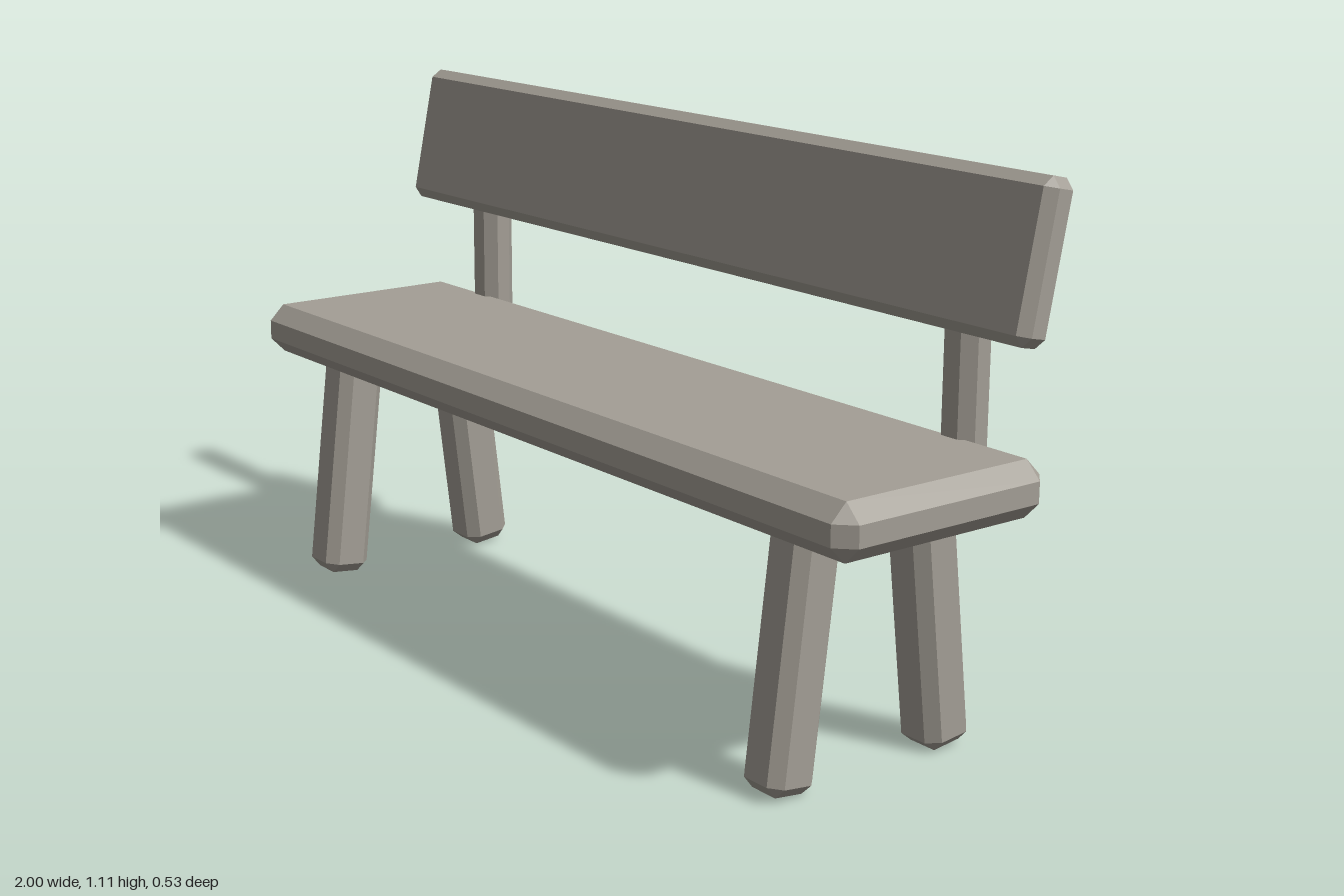
import * as THREE from 'three';
import { ConvexGeometry } from 'three/addons/geometries/ConvexGeometry.js';

// Box with all edges and corners bevelled by c: each corner becomes three points
function bevelledBox(w, h, d, c) {
  const points = [];
  for (const x of [-w / 2, w / 2])
    for (const y of [-h / 2, h / 2])
      for (const z of [-d / 2, d / 2]) {
        const ix = x - Math.sign(x) * c, iy = y - Math.sign(y) * c, iz = z - Math.sign(z) * c;
        points.push(
          new THREE.Vector3(x, iy, iz),
          new THREE.Vector3(ix, y, iz),
          new THREE.Vector3(ix, iy, z),
        );
      }
  return new ConvexGeometry(points);
}

export function createModel() {
  const bench = new THREE.Group();
  bench.name = 'bench';

  const wood = new THREE.MeshStandardMaterial({ color: 0xa39e95 });
  wood.name = 'weatheredWood';

  function add(name, geometry, x, y, z, tilt = 0) {
    const mesh = new THREE.Mesh(geometry, wood);
    mesh.name = name;
    mesh.position.set(x, y, z);
    mesh.rotation.x = THREE.MathUtils.degToRad(tilt);
    bench.add(mesh);
  }

  // Seat plank and leaning backrest board
  add('seat', bevelledBox(2, 0.11, 0.5, 0.034), 0, 0.545, 0.018);
  add('backrest', bevelledBox(2, 0.304, 0.074, 0.02), 0, 0.957, -0.204, -11.6);

  // Splayed legs and upright back posts, one set per side
  const leg = bevelledBox(0.109, 0.505, 0.109, 0.023);
  const post = bevelledBox(0.088, 0.447, 0.078, 0.023);
  for (const [side, x] of [['left', 0.78], ['right', -0.78]]) {
    add(side + 'FrontLeg', leg, x, 0.256, 0.185, -6.8);
    add(side + 'BackLeg', leg, x, 0.256, -0.149, 6.8);
    add(side + 'BackPost', post, x, 0.735, -0.227);
  }

  return bench;
}
